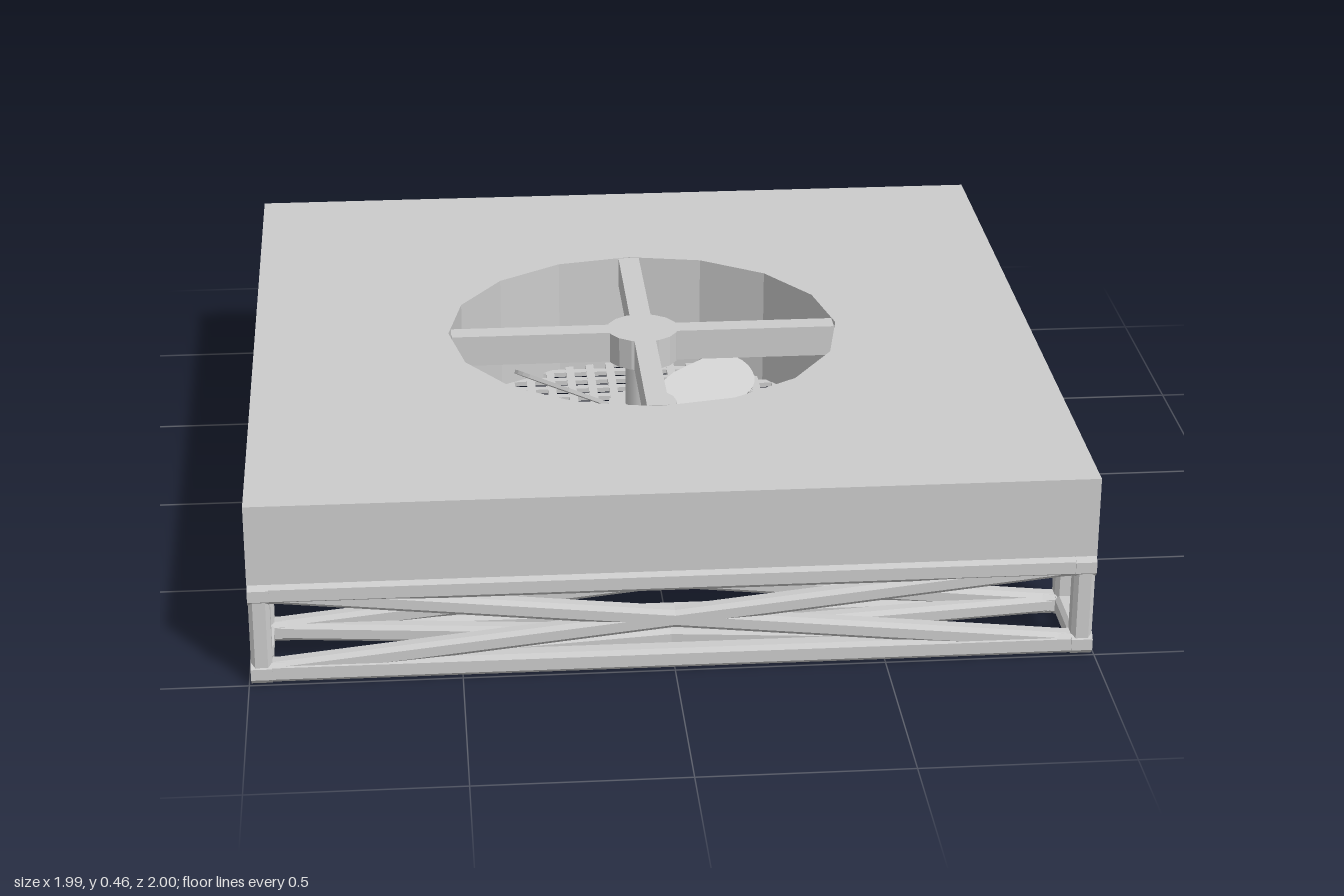
import * as THREE from 'three';

const HOLE_R = 0.5;
const SIDES = 16;

export function createModel() {
  const model = new THREE.Group();
  const mat = new THREE.MeshStandardMaterial({ color: 0xcccccc, flatShading: true });
  const smooth = new THREE.MeshStandardMaterial({ color: 0xcccccc });

  const add = (parent, name, geo, x = 0, y = 0, z = 0, m = mat) => {
    const mesh = new THREE.Mesh(geo, m);
    mesh.name = name;
    mesh.position.set(x, y, z);
    parent.add(mesh);
    return mesh;
  };
  const group = (name, parent = model) => {
    const g = new THREE.Group();
    g.name = name;
    parent.add(g);
    return g;
  };
  const box = (w, h, d) => new THREE.BoxGeometry(w, h, d);

  // Square outline with cut corners
  const cutSquare = (half, cut) => {
    const k = half - cut;
    return new THREE.Shape([
      [half, -k], [half, k], [k, half], [-k, half],
      [-half, k], [-half, -k], [-k, -half], [k, -half],
    ].map(([x, y]) => new THREE.Vector2(x, y)));
  };
  const withDuct = (shape) => {
    const pts = [];
    for (let i = 0; i < SIDES; i++) {
      const a = -i / SIDES * Math.PI * 2;
      pts.push(new THREE.Vector2(Math.cos(a) * HOLE_R, Math.sin(a) * HOLE_R));
    }
    shape.holes.push(new THREE.Path(pts));
    return shape;
  };
  const square = (half) => new THREE.Shape([
    new THREE.Vector2(-half, -half), new THREE.Vector2(half, -half),
    new THREE.Vector2(half, half), new THREE.Vector2(-half, half),
  ]);

  // Slab with a round duct
  const slab = new THREE.ExtrudeGeometry(withDuct(square(0.995)), { depth: 0.2, bevelEnabled: false });
  add(model, 'slab', slab.rotateX(-Math.PI / 2), 0, 0.26, 0);

  // Cross bars and hub, level with the top of the slab
  const cross = group('crossBars');
  for (let i = 0; i < 4; i++) {
    const arm = add(cross, 'crossBar', box(0.45, 0.08, 0.055).translate(0.268, 0, 0), 0, 0.42, 0);
    arm.rotation.y = i * Math.PI / 2;
  }
  add(cross, 'hub', new THREE.CylinderGeometry(0.092, 0.092, 0.08, 16), 0, 0.42, 0);

  // Fan casing: straight wall, then a narrow chamfer around its bottom edge
  const casing = group('fanCasing');
  const wall = new THREE.ExtrudeGeometry(withDuct(cutSquare(0.59, 0.035)), { depth: 0.105, bevelEnabled: false });
  add(casing, 'casingWall', wall.rotateX(-Math.PI / 2), 0, 0.155, 0);
  const rim = new THREE.ExtrudeGeometry(withDuct(cutSquare(0.59, 0.035)), { depth: 0.016, bevelEnabled: false });
  const p = rim.attributes.position;
  for (let i = 0; i < p.count; i++) {
    // Draw in the lower outer corners only
    const onOutside = Math.hypot(p.getX(i), p.getY(i)) > HOLE_R + 0.02;
    if (p.getZ(i) < 0.001 && onOutside) {
      p.setXY(i, p.getX(i) * 0.973, p.getY(i) * 0.973);
    }
  }
  rim.computeVertexNormals();
  add(casing, 'casingRim', rim.rotateX(-Math.PI / 2), 0, 0.139, 0);

  // Square mesh across the bottom of the duct
  const grille = group('grille');
  for (let i = -8; i <= 8; i++) {
    const c = i * 0.055;
    const len = 2 * Math.sqrt(HOLE_R * HOLE_R - c * c);
    add(grille, 'grilleBar', box(0.022, 0.014, len), c, 0.149, 0);
    add(grille, 'grilleBar', box(len, 0.012, 0.022), 0, 0.149, c);
  }

  // Four pitched blades on a shaft
  const fan = group('fan');
  add(fan, 'shaft', new THREE.CylinderGeometry(0.045, 0.045, 0.2, 16), 0, 0.29, 0, smooth);
  add(fan, 'fanHub', new THREE.CylinderGeometry(0.09, 0.09, 0.08, 16), 0, 0.21, 0);
  const outline = new THREE.Shape();
  outline.moveTo(0.05, -0.045);
  outline.lineTo(0.12, -0.06);
  outline.lineTo(0.2, -0.075);
  outline.lineTo(0.34, -0.075);
  outline.quadraticCurveTo(0.43, -0.065, 0.435, 0);
  outline.quadraticCurveTo(0.43, 0.065, 0.34, 0.075);
  outline.lineTo(0.2, 0.075);
  outline.lineTo(0.12, 0.06);
  outline.lineTo(0.05, 0.045);
  const bladeGeo = new THREE.ExtrudeGeometry(outline, { depth: 0.01, bevelEnabled: false, curveSegments: 6 });
  bladeGeo.translate(0, 0, -0.005).rotateX(-Math.PI / 2 + 0.55);
  for (let i = 0; i < 4; i++) {
    add(fan, 'blade', bladeGeo, 0, 0.21, 0).rotation.y = Math.PI / 4 + i * Math.PI / 2;
  }

  // Truss along the front: rails, end frames and crossed braces
  const truss = group('truss');
  truss.position.set(0, 0.13, 0.872);
  const bar = (length, half, cut = 0.01) => new THREE.ExtrudeGeometry(cutSquare(half, cut), {
    depth: length, bevelEnabled: false,
  }).translate(0, 0, -length / 2).rotateY(Math.PI / 2);
  const off = 0.102;
  const slope = Math.atan2(2 * off, 1.94);
  const braceGeo = bar(1.94 / Math.cos(slope), 0.022);
  for (const s of [-1, 1]) {
    for (const t of [-1, 1]) {
      add(truss, 'rail', bar(1.99, 0.025), 0, s * off, t * off);
      add(truss, 'endPost', bar(0.2, 0.025).rotateZ(Math.PI / 2), s * 0.969, 0, t * off);
      add(truss, 'endCrossbar', bar(0.2, 0.025).rotateY(Math.PI / 2), s * 0.969, t * off, 0);
      add(truss, 'sideBrace', braceGeo, 0, 0, s * off).rotation.z = t * slope;
      add(truss, 'levelBrace', braceGeo, 0, s * off, 0).rotation.y = t * slope;
      // Thicker corner joints at both ends
      for (const e of [-1, 1]) {
        add(truss, 'cornerJoint', bar(0.05, 0.028, 0.014), e * 0.97, s * off, t * off);
      }
    }
  }
  add(truss, 'mountingStrip', box(1.99, 0.012, 0.16), 0, 0.127, 0);

  // Cable socket under the rear edge, wired to the casing
  const cable = group('cable');
  add(cable, 'socket', box(0.2, 0.062, 0.12), 0.1, 0.23, -0.86);
  for (let i = 0; i < 4; i++) {
    const k = i - 1.5;
    const lift = (i % 2) * 0.022;
    const path = new THREE.CatmullRomCurve3([
      new THREE.Vector3(0.11 + k * 0.022, 0.195 + lift, -0.57),
      new THREE.Vector3(0.11 + k * 0.024, 0.18 + lift, -0.64),
      new THREE.Vector3(0.11 + k * 0.032, 0.125 + lift, -0.7),
      new THREE.Vector3(0.1 + k * 0.038, 0.108 + lift * 0.7, -0.77),
      new THREE.Vector3(0.1 + k * 0.04, 0.14 + lift * 0.5, -0.83),
      new THREE.Vector3(0.1 + k * 0.04, 0.215, -0.86),
    ]);
    add(cable, 'wire', new THREE.TubeGeometry(path, 24, 0.014, 8), 0, 0, 0, smooth);
  }

  return model;
}
